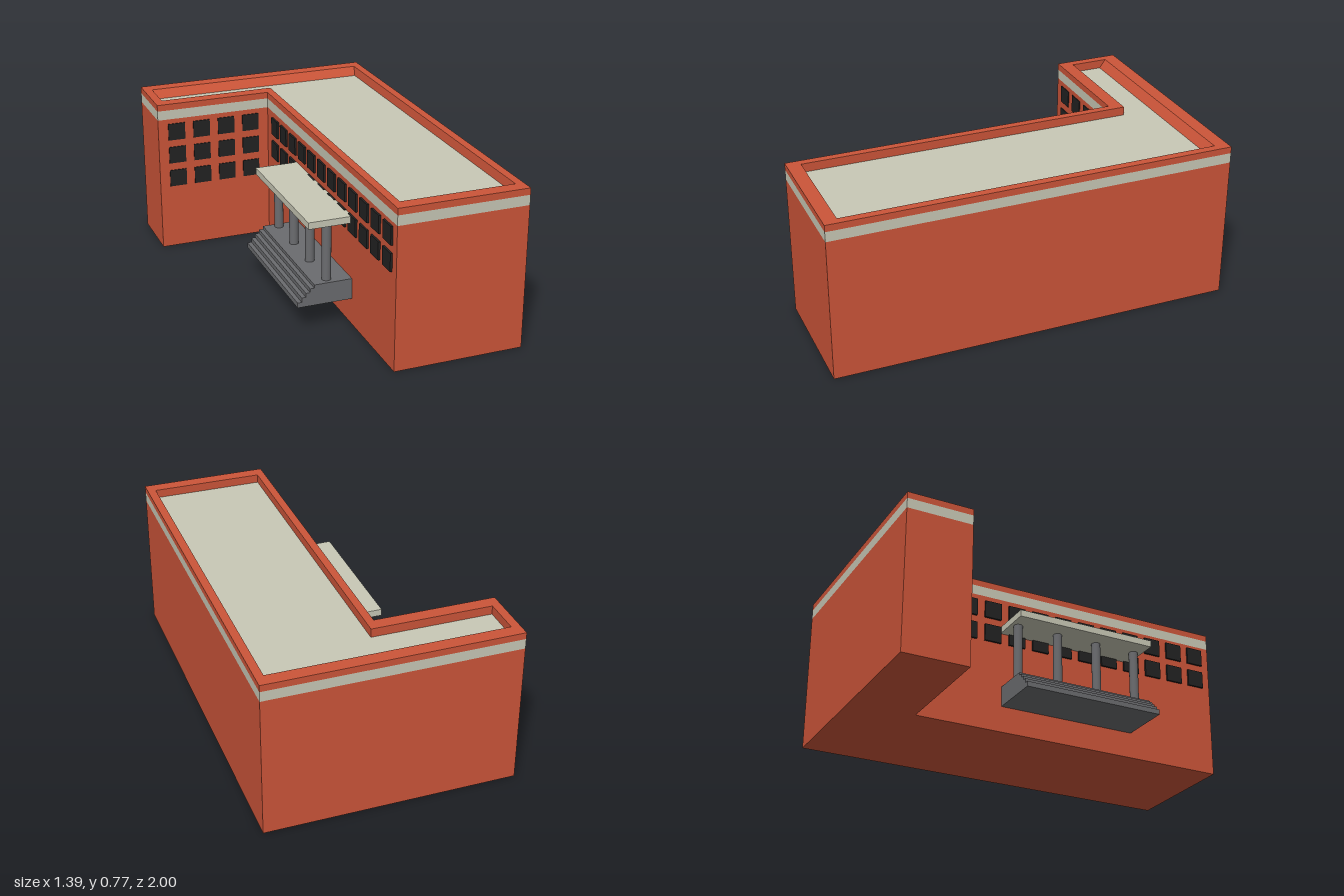
import * as THREE from 'three';

const mat = (color, side = THREE.FrontSide) =>
  new THREE.MeshStandardMaterial({ color, side, flatShading: true });
const brick = mat(0xcc5539);
const cream = mat(0xc8c8b6);
const glass = mat(0x222222);
const stone = mat(0x6b6c6f);

// Plan outlines as [x, z], before the building is turned
const OUTER = [[-0.61, -0.948], [0.596, -0.948], [0.596, 0.997], [-0.028, 0.997], [-0.028, -0.629], [-0.61, -0.629]];
const INNER = [[-0.568, -0.881], [0.556, -0.881], [0.556, 0.931], [0.01, 0.931], [0.01, -0.695], [-0.568, -0.695]];
const ROOF = [[-0.568, -0.85], [0.548, -0.85], [0.548, 0.931], [0.01, 0.931], [0.01, -0.695], [-0.568, -0.695]];
const ROOF_Y = 0.73;
const TOP_Y = 0.772;

const toPoints = (plan) => plan.map(([x, z]) => new THREE.Vector2(x, -z));

function add(group, name, geometry, material) {
  const mesh = new THREE.Mesh(geometry, material);
  mesh.name = name;
  group.add(mesh);
  return mesh;
}

// Upright prism over a plan, optionally with a hole
function prism(plan, hole, y0, y1) {
  const shape = new THREE.Shape(toPoints(plan));
  if (hole) shape.holes.push(new THREE.Path(toPoints(hole)));
  return new THREE.ExtrudeGeometry(shape, { depth: y1 - y0, bevelEnabled: false })
    .rotateX(-Math.PI / 2).translate(0, y0, 0);
}

// Box given by its limits on each axis
function block(x0, x1, y0, y1, z0, z1) {
  return new THREE.BoxGeometry(x1 - x0, y1 - y0, z1 - z0)
    .translate((x0 + x1) / 2, (y0 + y1) / 2, (z0 + z1) / 2);
}

// Inner faces of the parapet, from its top edge down to the roof edge
function parapetLining() {
  const pos = [];
  INNER.forEach((a, i) => {
    const j = (i + 1) % INNER.length;
    const t0 = [a[0], TOP_Y, a[1]], t1 = [INNER[j][0], TOP_Y, INNER[j][1]];
    const b0 = [ROOF[i][0], ROOF_Y, ROOF[i][1]], b1 = [ROOF[j][0], ROOF_Y, ROOF[j][1]];
    pos.push(...t0, ...b0, ...b1, ...t0, ...b1, ...t1);
  });
  const g = new THREE.BufferGeometry();
  g.setAttribute('position', new THREE.Float32BufferAttribute(pos, 3));
  g.computeVertexNormals();
  return g;
}

export function createModel() {
  const model = new THREE.Group();
  model.name = 'building';

  // Walls, pale band, parapet and roof
  add(model, 'walls', prism(OUTER, null, 0, 0.692), brick);
  add(model, 'band', prism(OUTER, INNER, 0.692, 0.74), cream);
  add(model, 'parapet', prism(OUTER, INNER, 0.74, TOP_Y), brick);
  add(model, 'parapetLining', parapetLining(), mat(0xcc5539, THREE.DoubleSide));
  add(model, 'roof', new THREE.ShapeGeometry(new THREE.Shape(toPoints(ROOF)))
    .rotateX(-Math.PI / 2).translate(0, ROOF_Y, 0), cream);

  // Windows on the front of the short wing
  const size = 0.087;
  const wingWindows = new THREE.Group();
  wingWindows.name = 'wingWindows';
  for (const y of [0.375, 0.5, 0.624]) {
    for (let i = 0; i < 4; i++) {
      add(wingWindows, 'window', new THREE.BoxGeometry(size, size, 0.01), glass)
        .position.set(-0.515 + i * 0.1305, y, -0.63);
    }
  }
  model.add(wingWindows);

  // Two long rows of windows above the entrance, rising slightly to the front
  const longWindows = new THREE.Group();
  longWindows.name = 'entranceSideWindows';
  for (const y of [0.5, 0.624]) {
    for (let i = 0; i < 12; i++) {
      add(longWindows, 'window', new THREE.BoxGeometry(0.02, size, size), glass)
        .position.set(-0.028, y - 0.004 + i * 0.0009, -0.504 + i * 0.1286);
    }
  }
  model.add(longWindows);

  // Porch: steps, columns and canopy
  const porch = new THREE.Group();
  porch.name = 'porch';
  const stepY = [0.13, 0.155, 0.177, 0.197, 0.216, 0.232];
  for (let i = 0; i < 5; i++) {
    add(porch, 'step', block(-0.294 + i * 0.0205, -0.027, stepY[i], stepY[i + 1], -0.195, 0.515), stone);
  }
  const columnMat = new THREE.MeshStandardMaterial({ color: 0x6b6c6f });
  for (let i = 0; i < 4; i++) {
    add(porch, 'column', new THREE.CylinderGeometry(0.022, 0.022, 0.28, 20), columnMat)
      .position.set(-0.138, 0.372, -0.165 + i * 0.213);
  }
  add(porch, 'canopy', block(-0.241, -0.027, 0.51, 0.543, -0.204, 0.515), cream);
  model.add(porch);

  // The whole building stands slightly turned
  model.rotation.y = 0.0975;
  model.position.set(0.004, 0, 0.003);
  const root = new THREE.Group();
  root.add(model);
  return root;
}
